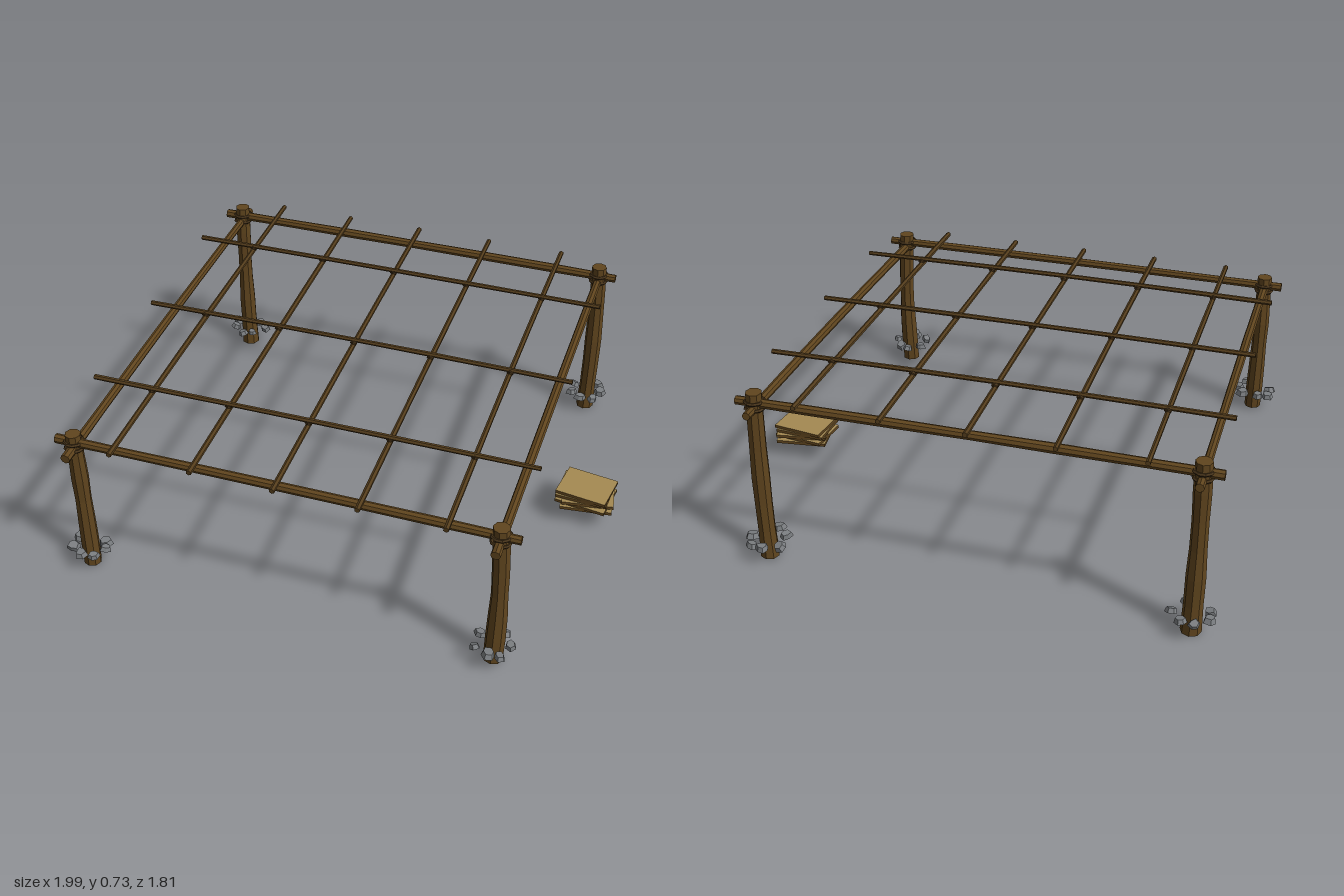
import * as THREE from 'three';

const mat = (name, color) => {
  const m = new THREE.MeshStandardMaterial({ color });
  m.name = name;
  m.flatShading = true;
  return m;
};

export function createModel() {
  const root = new THREE.Group();
  root.name = 'poleFrame';
  const bark = mat('bark brown', 0x60451e);
  const pole = mat('pole brown', 0x543d1c);
  const rope = mat('lashing brown', 0x46331a);
  const stone = mat('stone grey', 0x7b7e81);
  const board = mat('board tan', 0xa58a52);

  // small seeded generator for natural irregularity
  let seed = 11;
  const rnd = (a, b) => {
    seed = (seed * 16807) % 2147483647;
    return a + (b - a) * (seed / 2147483647);
  };
  const add = (name, geo, material, parent = root) => {
    const m = new THREE.Mesh(geo, material);
    m.name = name;
    parent.add(m);
    return m;
  };

  // slightly crooked log between two points, bowed by the given offset
  function log(name, a, b, r0, r1, material, bow = [0, 0, 0], sides = 8) {
    const A = new THREE.Vector3(...a), B = new THREE.Vector3(...b);
    const len = A.distanceTo(B), n = 6;
    const geo = new THREE.CylinderGeometry(r1, r0, len, sides, n);
    const swell = Array.from({ length: n + 1 }, () => rnd(0.93, 1.07));
    const p = geo.attributes.position;
    for (let i = 0; i < p.count; i++) {
      const k = swell[Math.round((p.getY(i) / len + 0.5) * n)];
      p.setX(i, p.getX(i) * k);
      p.setZ(i, p.getZ(i) * k);
    }
    geo.applyQuaternion(new THREE.Quaternion().setFromUnitVectors(
      new THREE.Vector3(0, 1, 0), B.clone().sub(A).normalize()));
    const mid = A.clone().add(B).multiplyScalar(0.5);
    geo.translate(mid.x, mid.y, mid.z);
    const dir = B.clone().sub(A), v = new THREE.Vector3();
    for (let i = 0; i < p.count; i++) {
      v.fromBufferAttribute(p, i);
      const t = v.clone().sub(A).dot(dir) / (len * len);
      const s = Math.sin(Math.PI * Math.min(1, Math.max(0, t)));
      p.setXYZ(i, v.x + bow[0] * s, v.y + bow[1] * s, v.z + bow[2] * s);
    }
    geo.computeVertexNormals();
    return add(name, geo, material);
  }

  // flat, angular stone: a tapered slab with an uneven outline
  function slab(r) {
    const geo = new THREE.CylinderGeometry(r * 0.75, r, r * 0.8, 6, 1);
    const p = geo.attributes.position;
    const reach = Array.from({ length: 6 }, () => rnd(0.75, 1.2));
    for (let i = 0; i < p.count; i++) {
      const turn = Math.atan2(p.getX(i), p.getZ(i)) / (Math.PI / 3);
      const k = reach[(Math.round(turn) + 6) % 6];
      p.setX(i, p.getX(i) * k);
      p.setZ(i, p.getZ(i) * k);
    }
    geo.computeVertexNormals();
    return geo;
  }

  const xs = [-0.902, 0.718], zs = [0.81, -0.81];

  // corner posts with lashings and a ring of stones
  for (const x of xs) for (const z of zs) {
    const front = z > 0;
    const top = front ? 0.632 : 0.717, tie = front ? 0.585 : 0.668;
    log('post', [x, 0, z], [x, top, z], 0.037, 0.03, bark,
      [x > 0 ? 0.007 : -0.003, 0, front ? -0.007 : 0.002]);
    for (const dy of [-0.014, 0.014]) {
      const ring = add('postLashing', new THREE.TorusGeometry(0.034, 0.007, 5, 10), rope);
      ring.rotation.x = Math.PI / 2;
      ring.position.set(x, tie + dy, z);
    }
    const stones = new THREE.Group();
    stones.name = 'footStones';
    root.add(stones);
    for (let i = 0; i < 7; i++) {
      const a = i / 7 * Math.PI * 2 + rnd(-0.2, 0.2), d = rnd(0.056, 0.075);
      const s = add('stone', slab(rnd(0.021, 0.027)), stone, stones);
      s.rotation.set(rnd(-0.35, 0.35), rnd(0, 6), rnd(-0.35, 0.35));
      s.position.set(x + Math.cos(a) * d, rnd(0.075, 0.087), z + Math.sin(a) * d);
    }
  }

  // main beams along x, then side beams sloping up to the back
  log('frontBeam', [-0.975, 0.593, 0.81], [0.79, 0.593, 0.81], 0.018, 0.017, bark, [0, 0.003, 0]);
  log('backBeam', [-0.975, 0.673, -0.81], [0.79, 0.673, -0.81], 0.019, 0.018, bark, [0, 0.003, 0]);
  for (const x of xs)
    log('sideBeam', [x, 0.568, 0.885], [x, 0.657, -0.885], 0.018, 0.016, bark, [0, 0.008, 0]);

  // rafters, cross poles and their lashings
  const rafters = [-0.725, -0.41, -0.093, 0.222, 0.54];
  const crossPoles = [[0.505, 0.668], [0, 0.694], [-0.51, 0.717]];
  for (const x of rafters)
    log('rafter', [x, 0.625, 0.875], [x, 0.715, -0.875], 0.011, 0.01, pole,
      [rnd(-0.004, 0.004), 0.006, 0], 6);
  for (const [z, y] of crossPoles) {
    log('crossPole', [-0.965, y - 0.002, z], [0.78, y - 0.002, z], 0.01, 0.009, pole,
      [0, 0.005, rnd(-0.004, 0.004)], 6);
    for (const x of rafters) {
      const knot = add('knot', new THREE.IcosahedronGeometry(0.016, 0), rope);
      knot.position.set(x, y - 0.008, z);
    }
  }

  // stack of loosely piled boards: tan upper faces, brown edges and undersides
  const stack = new THREE.Group();
  stack.name = 'boardStack';
  stack.position.set(0.868, 0, -0.083);
  root.add(stack);
  const boardFaces = [bark, bark, board, bark, bark, bark];
  [0.12, -0.14, 0.16, -0.06, -0.14].forEach((turn, i) => {
    const b = add('board', new THREE.BoxGeometry(0.208, 0.013, 0.165), boardFaces, stack);
    b.position.set([0.006, 0, 0.008, -0.004, 0][i], 0.077 + i * 0.0142, rnd(-0.004, 0.004));
    b.rotation.set(rnd(-0.01, 0.01), turn, rnd(-0.01, 0.01));
  });
  return root;
}
